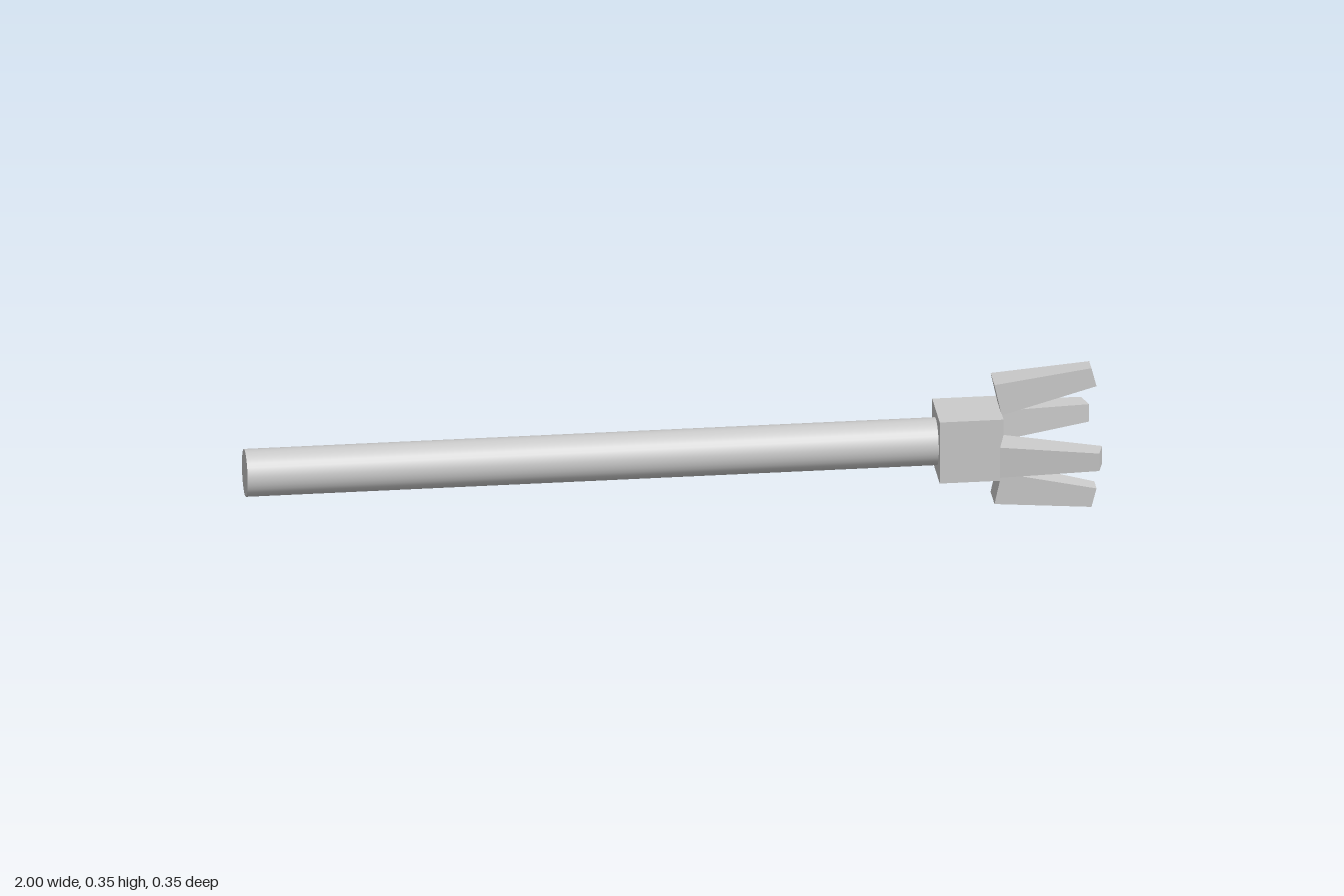
import * as THREE from 'three';

const AXIS_Y = 0.175;

// Tapered prong pointing along +x, offset from the axis along +y
function prongGeometry() {
  const base = { outer: [0.758, 0.15], inner: [0.775, 0.073], half: 0.038 };
  const tip = { outer: [0.988, 0.175], inner: [1.0, 0.129], half: 0.022 };
  const geometry = new THREE.BoxGeometry(1, 1, 1);
  const pos = geometry.attributes.position;
  for (let i = 0; i < pos.count; i++) {
    const end = pos.getX(i) < 0 ? base : tip;
    const [x, y] = pos.getY(i) > 0 ? end.outer : end.inner;
    pos.setXYZ(i, x, y, Math.sign(pos.getZ(i)) * end.half);
  }
  const flat = geometry.toNonIndexed();
  flat.computeVertexNormals();
  return flat;
}

export function createModel() {
  const model = new THREE.Group();
  model.name = 'prongedStaff';
  const smooth = new THREE.MeshStandardMaterial({ color: 0xcccccc });
  const faceted = new THREE.MeshStandardMaterial({ color: 0xcccccc, flatShading: true });

  const add = (name, geometry, material) => {
    const mesh = new THREE.Mesh(geometry, material);
    mesh.name = name;
    mesh.position.y = AXIS_Y;
    model.add(mesh);
    return mesh;
  };

  // Round shaft lying along x
  const shaft = add('shaft', new THREE.CylinderGeometry(0.056, 0.056, 1.63, 32), smooth);
  shaft.rotation.z = Math.PI / 2;
  shaft.position.x = -0.185;

  // Block joining the shaft to the prongs
  add('headBlock', new THREE.BoxGeometry(0.15, 0.154, 0.148), faceted).position.x = 0.7;

  // Four prongs around the axis
  const prong = prongGeometry();
  ['topProng', 'frontProng', 'bottomProng', 'backProng'].forEach((name, i) => {
    add(name, prong, faceted).rotation.x = i * Math.PI / 2;
  });

  return model;
}
